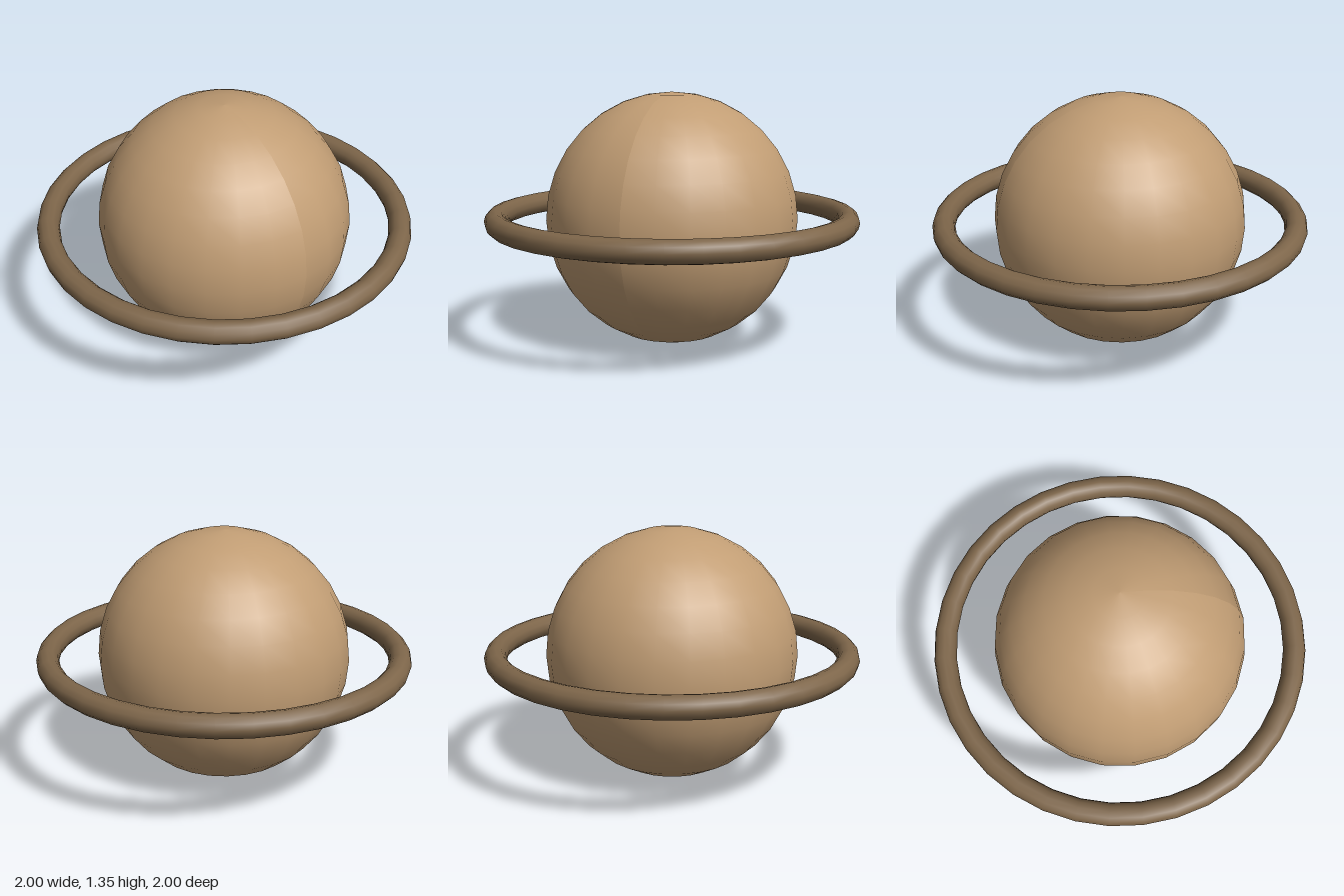
import * as THREE from 'three';

const RADIUS = 0.674;
const TUBE = 0.06;

export function createModel() {
  const group = new THREE.Group();
  group.name = 'ringedPlanet';

  const sand = new THREE.MeshStandardMaterial({ color: 0xc19d74 });
  sand.name = 'sand';
  const brown = new THREE.MeshStandardMaterial({ color: 0x7e664a });
  brown.name = 'brown';

  // Globe, turned so that its shading seam faces +x
  const globeGeometry = new THREE.SphereGeometry(RADIUS, 24, 16);
  globeGeometry.computeVertexNormals();
  globeGeometry.rotateY(Math.PI);
  const globe = new THREE.Mesh(globeGeometry, sand);
  globe.name = 'globe';
  globe.position.y = RADIUS;
  group.add(globe);

  // Flat-lying ring around the equator
  const ringGeometry = new THREE.TorusGeometry(1 - TUBE, TUBE, 12, 36);
  ringGeometry.rotateX(-Math.PI / 2);
  const ring = new THREE.Mesh(ringGeometry, brown);
  ring.name = 'ring';
  ring.position.y = RADIUS;
  group.add(ring);

  return group;
}
